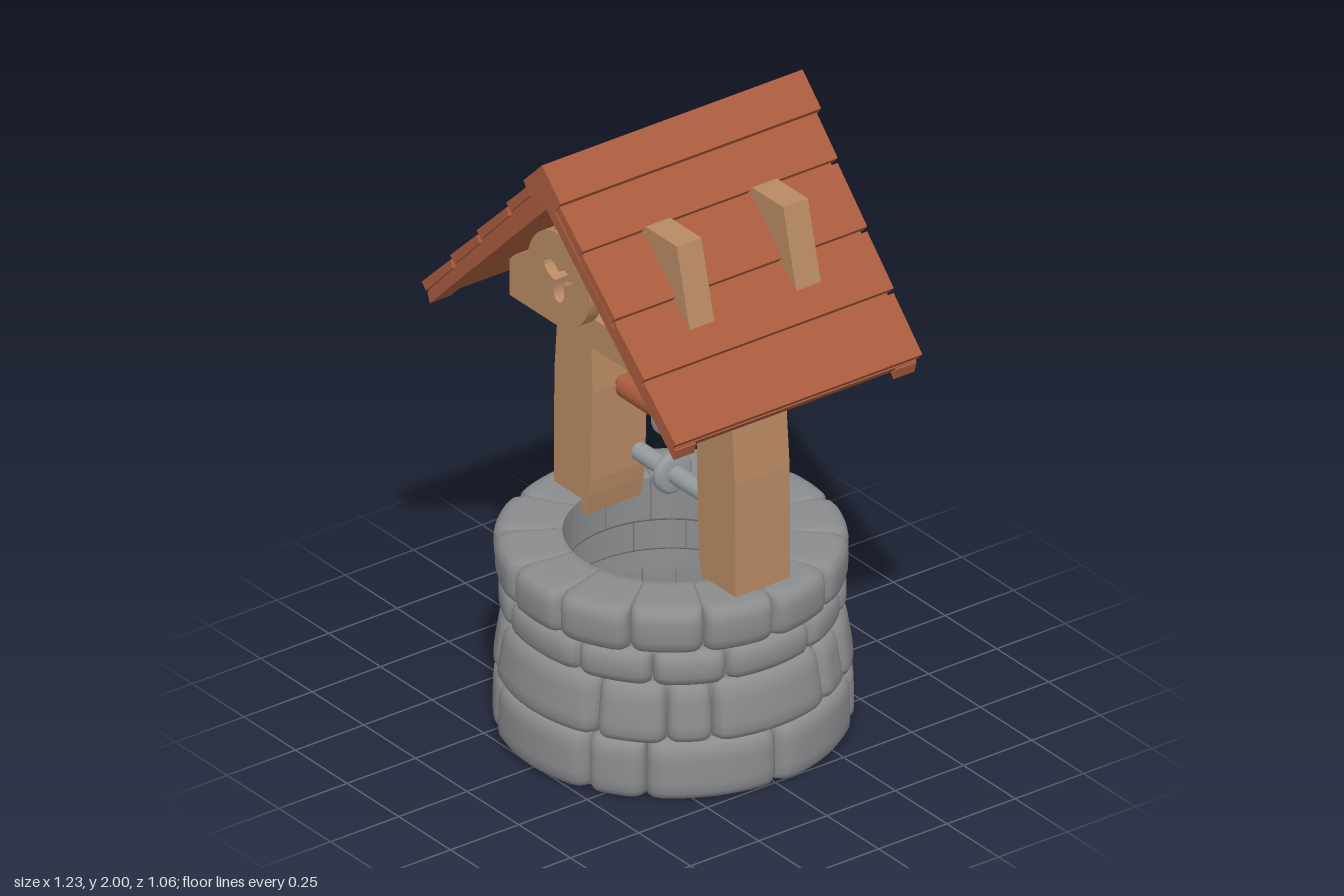
import * as THREE from 'three';
import { mergeVertices } from 'three/addons/utils/BufferGeometryUtils.js';

const material = (name, color) => {
  const m = new THREE.MeshStandardMaterial({ color });
  m.name = name;
  return m;
};

export function createModel() {
  const stone = material('stone', 0x8b8c8e);
  const roofRed = material('roof red', 0xa95c3e);
  const wood = material('wood', 0xb98a64);
  const metal = material('metal', 0x959ba0);
  const model = new THREE.Group();

  const add = (name, geometry, mat, parent = model) => {
    const mesh = new THREE.Mesh(geometry, mat);
    mesh.name = name;
    parent.add(mesh);
    return mesh;
  };
  const group = (name) => {
    const g = new THREE.Group();
    g.name = name;
    model.add(g);
    return g;
  };
  const shapeOf = (pts) => new THREE.Shape(pts.map(([x, y]) => new THREE.Vector2(x, y)));
  // Front-facing outline given a thickness from z0 to z1
  const slab = (shape, z0, z1, curveSegments = 32) => {
    const g = new THREE.ExtrudeGeometry(shape, { depth: z1 - z0, bevelEnabled: false, curveSegments });
    g.translate(0, 0, z0);
    return g;
  };
  let seed = 7;
  const rand = () => (seed = (seed * 16807) % 2147483647) / 2147483647;

  // Curved stone block: a box bent round the well with rounded outer edges
  const stoneBlock = (a0, a1, y0, y1, rIn, rBottom, rTop) => {
    let g = new THREE.BoxGeometry(2, 2, 2, 14, 8, 4);
    g.deleteAttribute('normal');
    g.deleteAttribute('uv');
    g = mergeVertices(g);
    const p = g.attributes.position;
    const spread = (s) => Math.sign(s) * (1 - (1 - Math.abs(s)) ** 1.7);
    const halfArc = (a1 - a0) / 2, halfH = (y1 - y0) / 2, bevel = 0.042;
    const inset = (d) => (d < bevel ? bevel - Math.sqrt(bevel ** 2 - (bevel - d) ** 2) : 0);
    const lift = (rand() - 0.5) * 0.014;
    for (let i = 0; i < p.count; i++) {
      const u = spread(p.getX(i)), v = spread(p.getY(i)), w = (spread(p.getZ(i)) + 1) / 2;
      const edgeU = inset((1 - Math.abs(u)) * halfArc * 0.5), edgeV = inset((1 - Math.abs(v)) * halfH);
      const outer = rBottom + (rTop - rBottom) * (v + 1) / 2 + lift - Math.min(0.055, edgeU + edgeV);
      const r = rIn + (outer - rIn) * w;
      const a = (a0 + a1) / 2 + u * halfArc;
      // corners sag a little so courses look pillowed
      const y = (y0 + y1) / 2 + v * (halfH - edgeU * 0.25 * w);
      p.setXYZ(i, Math.sin(a) * r, y, Math.cos(a) * r);
    }
    g.computeVertexNormals();
    return g;
  };

  // Four courses of stones; joints in degrees, mirrored left and right
  const well = group('stoneWell');
  const courses = [
    { y: [0, 0.193], r: [0.36, 0.53, 0.525], joints: [24, 44, 90, 136, 156] },
    { y: [0.185, 0.378], r: [0.35, 0.53, 0.5], joints: [27, 51, 67, 113, 129, 153] },
    { y: [0.37, 0.486], r: [0.34, 0.505, 0.505], joints: [19, 46, 72, 108, 134, 161] },
    { y: [0.478, 0.625], r: [0.32, 0.515, 0.52], joints: [12, 38, 64, 90, 116, 142, 168] },
  ];
  for (const { y, r, joints } of courses) {
    const all = [...joints.map((a) => -a).reverse(), ...joints];
    all.forEach((a, i) => {
      const b = i + 1 < all.length ? all[i + 1] : all[0] + 360;
      const rad = THREE.MathUtils.degToRad;
      add('stone', stoneBlock(rad(a), rad(b), y[0], y[1], ...r), stone, well);
    });
  }
  // Mortar core closing the joints
  const core = [[0.365, 0.012], [0.475, 0.012], [0.465, 0.6], [0.335, 0.6], [0.365, 0.012]];
  add('mortarCore', new THREE.LatheGeometry(core.map(([x, y]) => new THREE.Vector2(x, y)), 48), stone, well);

  // Posts, gently bowed
  for (const s of [-1, 1]) {
    const pts = [[0.285, 0.58], [0.44, 0.58], [0.437, 1.0], [0.41, 1.34], [0.265, 1.34],
      [0.252, 1.0], [0.262, 0.7], [0.27, 0.645]];
    add(s > 0 ? 'leftPost' : 'rightPost', slab(shapeOf(pts.map(([x, y]) => [x * s, y])), -0.1, 0.1), wood);
  }

  // Roof trusses, with a crooked rafter that breaks through the left slope
  for (const z of [-0.195, 0.195]) {
    const truss = shapeOf([[-0.47, 1.28], [0.47, 1.28], [0.34, 1.8], [0.19, 1.8], [-0.47, 1.41]]);
    truss.holes.push(shapeOf([[-0.38, 1.38], [0.395, 1.38], [0.28, 1.61]]));
    add('roofTruss', slab(truss, z - 0.045, z + 0.045), wood);
  }

  // Roof: sloping base, stepped planks, barge boards and ridge cap
  const roof = group('roof');
  const top = (x) => 1.79 - 1.07 * (x - 0.185);
  const taper = (g) => {
    const p = g.attributes.position;
    for (let i = 0; i < p.count; i++) p.setZ(i, p.getZ(i) * (0.95 + 0.05 * (p.getY(i) - 1.3) / 0.7));
    g.computeVertexNormals();
    return g;
  };
  const edges = [0.03, 0.185, 0.335, 0.47, 0.615];
  for (const s of [-1, 1]) {
    const piece = (name, pts, z0, z1) =>
      add(name, taper(slab(shapeOf(pts.map(([x, y]) => [x * s, y])), z0, z1)), roofRed, roof);
    piece('roofBase', [[0, 1.95], [0.6, 1.308], [0.58, 1.285], [0, 1.885]], -0.462, 0.462);
    for (let i = 0; i < 4; i++) {
      const a = edges[i], b = edges[i + 1];
      piece('roofPlank', [[a, top(a) - 0.016], [b, top(b)], [b - 0.02, top(b) - 0.022], [a - 0.01, top(a) - 0.04]],
        -0.474, 0.474);
    }
    for (const z of [-0.425, 0.425]) {
      piece('bargeBoard', [[0, 1.9], [0.6, 1.3], [0.59, 1.265], [0, 1.848]], z - 0.04, z + 0.04);
    }
  }
  add('ridgeCap', slab(shapeOf([[0, 2], [0.09, 1.91], [0.065, 1.875], [0, 1.86], [-0.065, 1.875], [-0.09, 1.91]]),
    -0.478, 0.476), roofRed, roof);

  // Round gable plaques with a three-lobed cut-out
  for (const s of [-1, 1]) {
    const disc = new THREE.Shape();
    disc.absarc(0, 0, 0.15, 0, Math.PI * 2, false);
    const lobes = [];
    for (let i = 0; i < 48; i++) {
      const a = (i / 48) * Math.PI * 2;
      const r = 0.052 + 0.027 * Math.cos(3 * (a + Math.PI / 2));
      lobes.push([Math.cos(a) * r, Math.sin(a) * r]);
    }
    disc.holes.push(shapeOf(lobes));
    add('gablePlaque', slab(disc, -0.025, 0.025), wood).position.set(0, 1.6, s * 0.39);
    const hanger = add('plaqueHanger', new THREE.BoxGeometry(0.07, 0.14, 0.04), wood);
    hanger.position.set(0, 1.78, s * 0.385);
  }

  // Winding axle and the small iron bar below it
  const rod = (name, r, length, y, mat) => {
    const m = add(name, new THREE.CylinderGeometry(r, r, length, 20), mat);
    m.rotation.z = Math.PI / 2;
    m.position.y = y;
  };
  const ring = (name, r, y) => {
    const profile = [[0.02, -0.02], [r - 0.012, -0.02], [r, -0.01], [r, 0.01], [r - 0.012, 0.02], [0.02, 0.02]];
    const m = add(name, new THREE.LatheGeometry(profile.map(([x, h]) => new THREE.Vector2(x, h)), 28), metal);
    m.rotation.z = Math.PI / 2;
    m.position.y = y;
  };
  rod('axle', 0.04, 0.44, 1.01, roofRed);
  rod('axlePin', 0.016, 0.54, 1.01, roofRed);
  ring('axleRing', 0.07, 1.01);
  rod('ironBar', 0.029, 0.32, 0.815, metal);
  ring('ironBarRing', 0.065, 0.815);

  return model;
}
